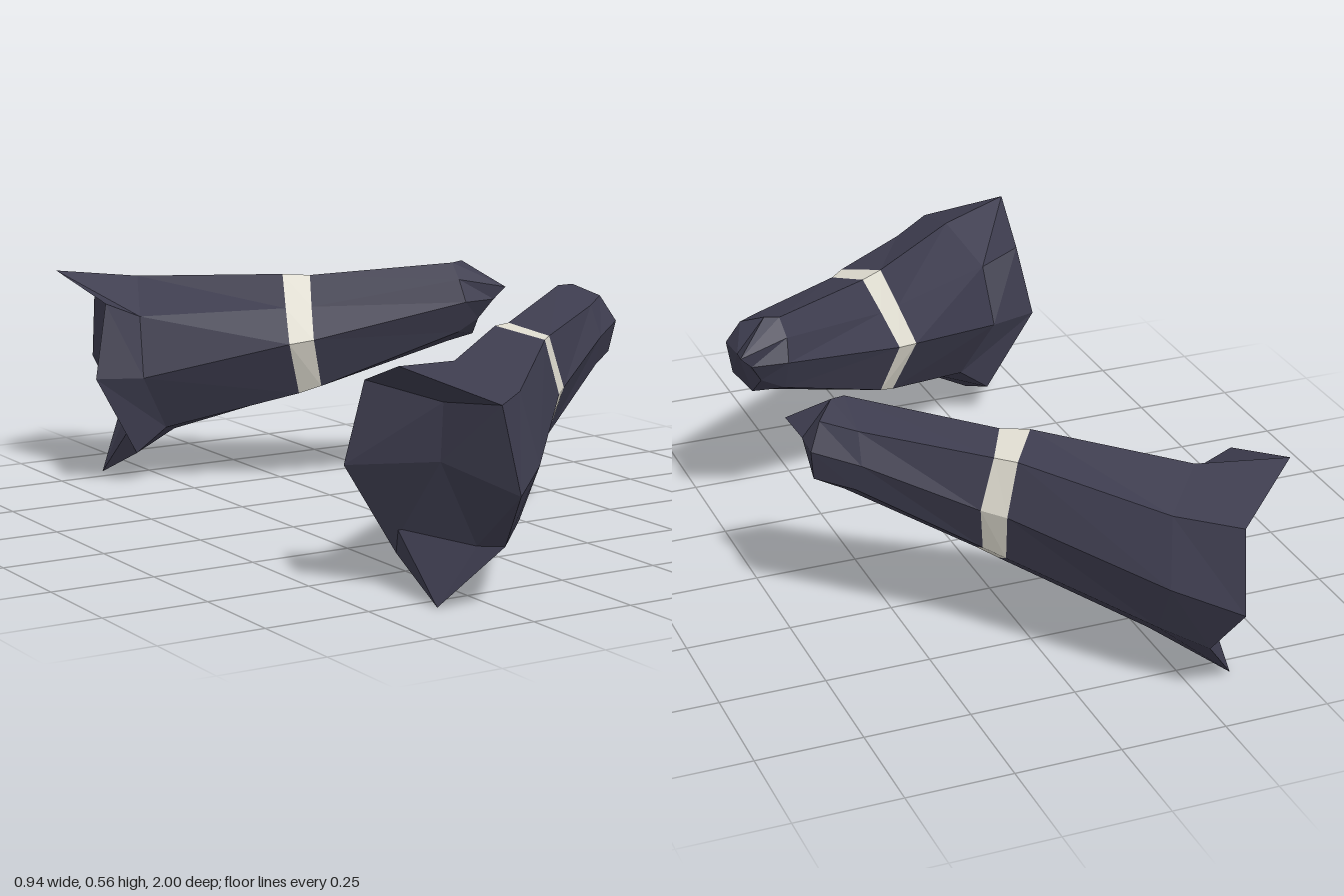
import * as THREE from 'three';

// Cross-sections run: top, outer upper, outer, outer lower, bottom, inner lower, inner, inner upper
const ring = (...p) => p;

// Flared open edge of the cuff
const rim = ring([-0.47, 0.533, 0.82], [-0.30, 0.455, 0.95], [-0.285, 0.27, 1.0], [-0.255, 0.14, 0.9],
  [-0.36, 0, 0.8], [-0.35, 0.08, 0.62], [-0.47, 0.285, 0.6], [-0.43, 0.47, 0.62]);
// Where the flare meets the sleeve
const cuffBase = ring([-0.28, 0.515, 0.74], [-0.18, 0.455, 0.84], [-0.16, 0.30, 0.887], [-0.165, 0.17, 0.82],
  [-0.19, 0.11, 0.72], [-0.27, 0.14, 0.61], [-0.35, 0.28, 0.575], [-0.335, 0.43, 0.62]);
// Two edges of the pale band; the upper inner side is one flat slope
const bandBack = ring([0, 0.53, 0.48], [0.07, 0.505, 0.575], [0.10, 0.38, 0.59], [0.085, 0.255, 0.55],
  [0.08, 0.225, 0.49], [0, 0.235, 0.40], [-0.05, 0.37, 0.36], [-0.025, 0.452, 0.421]);
const bandFront = ring([0.06, 0.527, 0.445], [0.11, 0.505, 0.535], [0.145, 0.385, 0.545], [0.125, 0.27, 0.51],
  [0.12, 0.243, 0.455], [0.045, 0.255, 0.365], [0.005, 0.38, 0.333], [0.032, 0.455, 0.39]);
// Narrow end
const wrist = ring([0.35, 0.563, 0.23], [0.36, 0.53, 0.35], [0.365, 0.46, 0.385], [0.37, 0.39, 0.36],
  [0.37, 0.354, 0.28], [0.35, 0.39, 0.20], [0.35, 0.47, 0.166], [0.345, 0.525, 0.19]);
const tip = ring([0.385, 0.565, 0.24], [0.43, 0.54, 0.29], [0.46, 0.48, 0.315], [0.45, 0.405, 0.30],
  [0.42, 0.375, 0.24], [0.41, 0.42, 0.20], [0.44, 0.47, 0.175], [0.47, 0.50, 0.166]);

// Sunken cap inside the cuff: a folded face set back from the outer rim
const capHigh = [-0.34, 0.44, 0.79], capMid = [-0.34, 0.31, 0.78];
const capLow = [-0.28, 0.13, 0.83], capInner = [-0.36, 0.14, 0.64];
const capFold = ring(capHigh, capHigh, capMid, capLow, capLow, capInner, capMid, capHigh);
const capCentre = Array(8).fill(capMid);
const tipCentre = Array(8).fill([0.455, 0.48, 0.24]);

// Joins successive cross-sections with flat faces; side -1 mirrors across z
function loft(rings, side) {
  const pos = [];
  const tri = (a, b, c) => {
    if (a === b || b === c || a === c) return;
    for (const p of side > 0 ? [a, b, c] : [a, c, b]) pos.push(p[0], p[1], p[2] * side);
  };
  for (let i = 0; i < rings.length - 1; i++) {
    const r = rings[i], s = rings[i + 1];
    for (let j = 0; j < 8; j++) {
      const k = (j + 1) % 8;
      tri(r[j], r[k], s[j]);
      tri(r[k], s[k], s[j]);
    }
  }
  const geo = new THREE.BufferGeometry();
  geo.setAttribute('position', new THREE.Float32BufferAttribute(pos, 3));
  geo.computeVertexNormals();
  return geo;
}

export function createModel() {
  const model = new THREE.Group();
  model.name = 'sleevePair';
  const cloth = new THREE.MeshStandardMaterial({ color: 0x3d3c4e, flatShading: true });
  cloth.name = 'darkCloth';
  const pale = new THREE.MeshStandardMaterial({ color: 0xdddace, flatShading: true });
  pale.name = 'paleBand';

  const parts = [
    ['cuff', [capCentre, capFold, rim, cuffBase], cloth],
    ['forearm', [cuffBase, bandBack], cloth],
    ['band', [bandBack, bandFront], pale],
    ['wrist', [bandFront, wrist, tip, tipCentre], cloth],
  ];
  for (const side of [1, -1]) {
    const sleeve = new THREE.Group();
    sleeve.name = side > 0 ? 'frontSleeve' : 'backSleeve';
    for (const [name, rings, material] of parts) {
      const mesh = new THREE.Mesh(loft(rings, side), material);
      mesh.name = name;
      sleeve.add(mesh);
    }
    model.add(sleeve);
  }
  return model;
}
